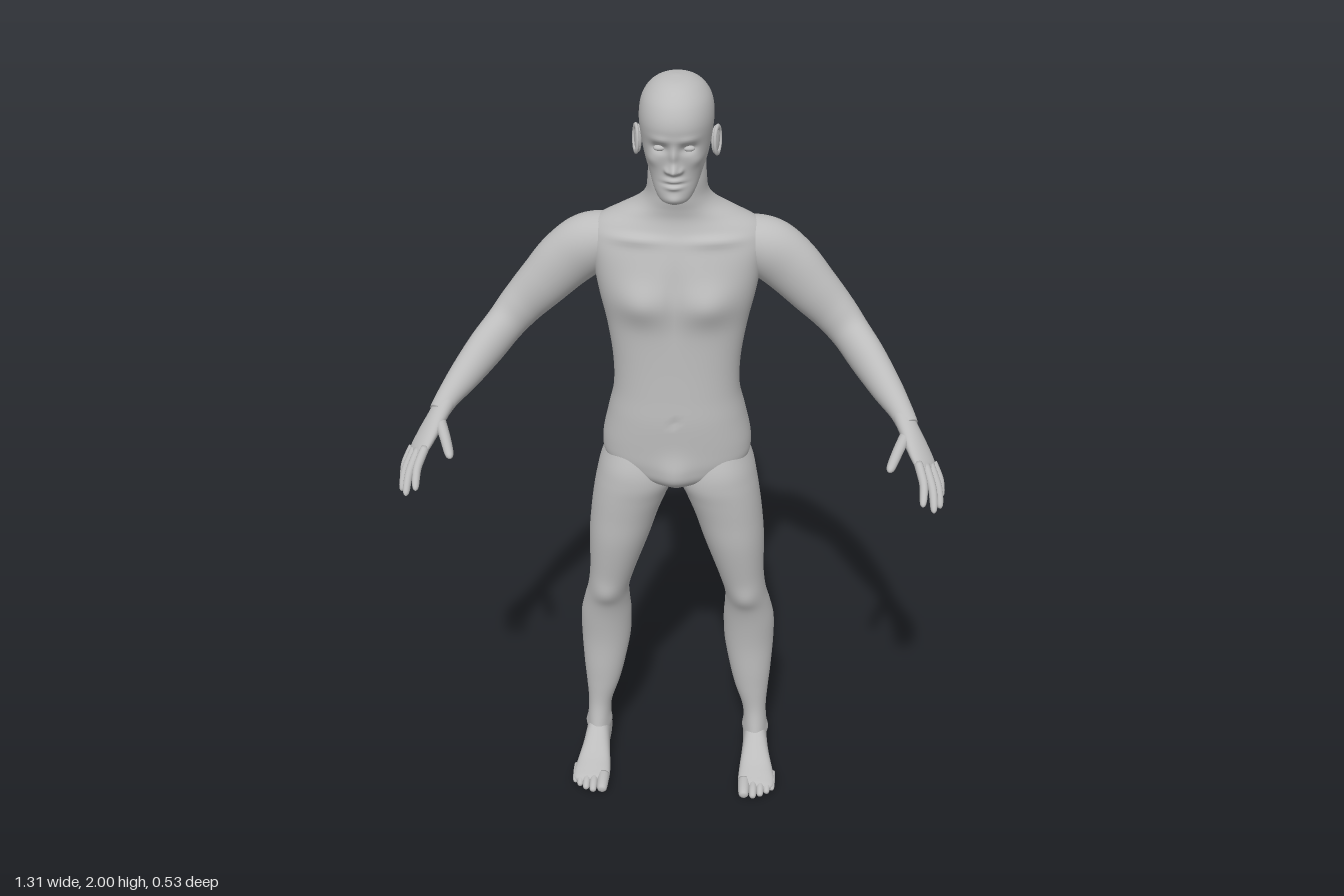
import * as THREE from 'three';

const skin = new THREE.MeshStandardMaterial({ color: 0xbcbcbc });
skin.name = 'grey skin';

// Smooth in-between rows through a few key rows of numbers
function smoothRows(rows, steps) {
  const out = [], last = rows.length - 1;
  for (let i = 0; i <= steps; i++) {
    const f = (i / steps) * last, k = Math.min(Math.floor(f), last - 1), t = f - k;
    const [a, b, c, d] = [k - 1, k, k + 1, k + 2].map(j => rows[Math.max(0, Math.min(last, j))]);
    out.push(b.map((_, m) => b[m] + 0.5 * t * (c[m] - a[m]
      + t * (2 * a[m] - 5 * b[m] + 4 * c[m] - d[m] + t * (3 * (b[m] - c[m]) + d[m] - a[m])))));
  }
  return out;
}

// Closed skin over rings; place(row, cos, sin, index) gives one point
function loft(rows, n, place) {
  const pos = [], idx = [], m = rows.length;
  rows.forEach((row, i) => {
    for (let j = 0; j < n; j++) {
      const a = (j / n) * Math.PI * 2;
      pos.push(...place(row, Math.cos(a), Math.sin(a), i));
    }
  });
  for (const ring of [0, m - 1]) {
    const c = [0, 0, 0];
    for (let j = 0; j < n * 3; j++) c[j % 3] += pos[ring * n * 3 + j] / n;
    pos.push(...c);
  }
  for (let j = 0; j < n; j++) {
    const k = (j + 1) % n, top = (m - 1) * n;
    for (let i = 0; i < m - 1; i++) {
      const a = i * n + j, b = i * n + k;
      idx.push(a, a + n, b, b, a + n, b + n);
    }
    idx.push(m * n, j, k, m * n + 1, top + k, top + j);
  }
  const geo = new THREE.BufferGeometry();
  geo.setAttribute('position', new THREE.Float32BufferAttribute(pos, 3));
  geo.setIndex(idx);
  geo.computeVertexNormals();
  return geo;
}

const power = (v, e) => Math.sign(v) * Math.pow(Math.abs(v), e);

// Upright body part; row: y, x min, x max, z front, z back, squareness
const upright = (rows, n, steps) => loft(smoothRows(rows, steps), n, ([y, x0, x1, zf, zb, e], c, s) =>
  [(x0 + x1) / 2 + (x1 - x0) / 2 * power(c, e), y, (zf + zb) / 2 + (zf - zb) / 2 * power(s, e)]);

// Limb along a path; row: x, y, z, radius along the hint, radius across it
function limb(keys, hint, n = 24, steps = 30) {
  const rows = smoothRows(keys, steps);
  const p = rows.map(r => new THREE.Vector3(r[0], r[1], r[2]));
  const frames = p.map((_, i) => {
    const d = p[Math.min(i + 1, steps)].clone().sub(p[Math.max(i - 1, 0)]).normalize();
    const u = new THREE.Vector3(...hint).addScaledVector(d, -d.dot(new THREE.Vector3(...hint))).normalize();
    return [u, new THREE.Vector3().crossVectors(u, d)];
  });
  return loft(rows, n, (r, c, s, i) =>
    p[i].clone().addScaledVector(frames[i][0], c * r[3]).addScaledVector(frames[i][1], s * r[4]).toArray());
}

// Finger or toe with a rounded tip
function digit(points, r, hint) {
  const curve = new THREE.CatmullRomCurve3(points.map(q => new THREE.Vector3(...q)));
  const rows = [[0, 1], [0.25, 1], [0.5, 0.95], [0.75, 0.88], [0.9, 0.75], [0.97, 0.48], [1, 0.05]]
    .map(([t, k]) => [...curve.getPoint(t).toArray(), r * k, r * k]);
  return limb(rows, hint, 14, 20);
}

// Sculpt soft bumps: x, y, z, reach x, y, z, push x, y, z (mirrored when off centre)
function sculpt(geo, bumps) {
  const all = bumps.flatMap(b => b[0] ? [b, b.map((v, i) => (i === 0 || i === 6 ? -v : v))] : [b]);
  const p = geo.attributes.position;
  for (let i = 0; i < p.count; i++) {
    const o = [p.getX(i), p.getY(i), p.getZ(i)], q = [...o];
    for (const b of all) {
      const w = Math.exp(-o.reduce((sum, v, k) => sum + ((v - b[k]) / b[k + 3]) ** 2, 0));
      for (let k = 0; k < 3; k++) q[k] += w * b[k + 6];
    }
    p.setXYZ(i, ...q);
  }
  geo.computeVertexNormals();
  return geo;
}

function mirrored(geo) {
  const g = geo.clone().scale(-1, 1, 1);
  g.setIndex(Array.from(g.index.array).reverse());
  g.computeVertexNormals();
  return g;
}

export function createModel() {
  const model = new THREE.Group();
  model.name = 'humanFigure';
  const add = (name, geo) => {
    const mesh = new THREE.Mesh(geo, skin);
    mesh.name = name;
    model.add(mesh);
  };
  const pair = (name, geo) => {
    add('left' + name, geo);
    add('right' + name, mirrored(geo));
  };
  const centred = rows => rows.map(([y, r, zf, zb, e]) => [y, -r, r, zf, zb, e]);

  // Torso and neck
  const torso = upright(centred([
    [0.93, 0.03, -0.06, -0.14, 1], [0.97, 0.13, -0.015, -0.21, 0.95], [1.01, 0.18, -0.006, -0.235, 0.9],
    [1.06, 0.188, -0.004, -0.248, 0.88], [1.14, 0.172, -0.002, -0.24, 0.88], [1.21, 0.157, -0.006, -0.217, 0.88],
    [1.29, 0.158, -0.01, -0.222, 0.86], [1.38, 0.172, -0.012, -0.24, 0.85], [1.46, 0.19, -0.01, -0.25, 0.85],
    [1.53, 0.203, -0.02, -0.252, 0.85], [1.59, 0.213, -0.037, -0.247, 0.9], [1.63, 0.2, -0.053, -0.24, 1],
    [1.66, 0.148, -0.06, -0.228, 1.05], [1.685, 0.1, -0.058, -0.217, 1], [1.715, 0.075, -0.052, -0.203, 1],
    [1.76, 0.069, -0.05, -0.19, 1], [1.82, 0.066, -0.06, -0.19, 1]]), 96, 110);
  add('torso', sculpt(torso, [
    [0.085, 1.465, 0, 0.06, 0.05, 0.08, 0, 0, 0.02],       // chest
    [0, 1.48, 0, 0.016, 0.08, 0.06, 0, 0, -0.008],         // breastbone
    [0.1, 1.612, -0.05, 0.07, 0.012, 0.05, 0, 0.004, 0.008], // collar bone
    [0.1, 1.53, -0.24, 0.055, 0.09, 0.07, 0, 0, -0.018],   // shoulder blade
    [0, 1.38, -0.24, 0.022, 0.22, 0.06, 0, 0, 0.015],      // spine
    [0.085, 1.05, -0.24, 0.065, 0.065, 0.08, 0, 0, -0.026], // buttock
    [0, 1.03, -0.25, 0.016, 0.07, 0.08, 0, 0, 0.04],       // cleft
    [0, 1.0, -0.01, 0.04, 0.045, 0.05, 0, -0.005, 0.014],  // groin
    [0, 1.15, 0, 0.007, 0.008, 0.04, 0, 0, -0.006],        // navel
  ]));

  // Head with a sculpted face
  const head = upright(centred([
    [1.724, 0.015, -0.005, -0.035, 1], [1.733, 0.034, 0.007, -0.06, 0.95], [1.755, 0.049, 0.012, -0.11, 0.92],
    [1.79, 0.063, 0.01, -0.18, 0.9], [1.82, 0.073, 0.011, -0.204, 0.9], [1.86, 0.081, 0.017, -0.217, 0.9],
    [1.91, 0.086, 0.026, -0.223, 0.93], [1.95, 0.08, 0.014, -0.211, 0.97], [1.978, 0.062, -0.012, -0.185, 1],
    [1.994, 0.036, -0.045, -0.145, 1], [2.0, 0.006, -0.088, -0.102, 1]]), 128, 110);
  add('head', sculpt(head, [
    [0.033, 1.862, 0.01, 0.018, 0.011, 0.05, 0, 0, -0.013], // eye socket
    [0.032, 1.884, 0.02, 0.025, 0.008, 0.05, 0, 0, 0.004],  // brow
    [0, 1.845, 0.015, 0.009, 0.024, 0.05, 0, 0, 0.012],     // nose bridge
    [0, 1.815, 0.015, 0.011, 0.012, 0.05, 0, -0.003, 0.024], // nose tip
    [0.014, 1.811, 0.01, 0.007, 0.007, 0.05, 0.002, 0, 0.008], // nostril
    [0, 1.787, 0.01, 0.02, 0.006, 0.05, 0, 0, 0.008],       // upper lip
    [0, 1.771, 0.01, 0.018, 0.006, 0.05, 0, 0, 0.008],      // lower lip
    [0, 1.779, 0.01, 0.024, 0.003, 0.05, 0, 0, -0.004],     // mouth line
    [0, 1.74, 0.01, 0.02, 0.012, 0.05, 0, 0, 0.006],        // chin
    [0.05, 1.83, -0.01, 0.018, 0.016, 0.04, 0.003, 0, 0.004], // cheek
  ]));
  pair('Eye', new THREE.SphereGeometry(1, 20, 14).scale(0.014, 0.007, 0.01).translate(0.033, 1.861, -0.001));

  // Ears: a shell with a raised rim
  const placeEar = g => g.rotateY(Math.PI / 2 - 0.35).rotateX(-0.15).translate(0.089, 1.848, -0.097);
  pair('Ear', placeEar(new THREE.SphereGeometry(1, 20, 14).scale(0.018, 0.033, 0.008)));
  pair('EarRim', placeEar(new THREE.TorusGeometry(0.02, 0.0045, 8, 28).scale(0.85, 1.5, 1).translate(0, 0, 0.005)));

  // Legs
  const leg = upright([
    [1.07, 0.035, 0.16, -0.04, -0.21, 1], [1.0, 0.01, 0.193, -0.014, -0.245, 0.95],
    [0.95, 0.003, 0.206, -0.008, -0.228, 0.95], [0.9, 0.024, 0.215, -0.012, -0.213, 0.95],
    [0.84, 0.047, 0.223, -0.018, -0.21, 0.95], [0.76, 0.072, 0.23, -0.025, -0.209, 0.95],
    [0.65, 0.11, 0.232, -0.045, -0.195, 0.95], [0.58, 0.129, 0.24, -0.06, -0.2, 0.95],
    [0.53, 0.13, 0.252, -0.077, -0.21, 0.97], [0.47, 0.127, 0.264, -0.09, -0.221, 1],
    [0.39, 0.131, 0.265, -0.1, -0.222, 1], [0.3, 0.148, 0.26, -0.102, -0.202, 1],
    [0.24, 0.163, 0.255, -0.104, -0.19, 1], [0.17, 0.185, 0.251, -0.105, -0.185, 1],
    [0.11, 0.19, 0.254, -0.094, -0.19, 1], [0.07, 0.191, 0.254, -0.085, -0.198, 1],
    [0.03, 0.198, 0.248, -0.09, -0.195, 1]].reverse(), 56, 90);
  pair('Leg', sculpt(leg, [
    [0.185, 0.585, -0.06, 0.035, 0.035, 0.04, 0, 0, 0.008],  // kneecap
    [0.188, 0.1, -0.14, 0.02, 0.018, 0.02, -0.005, 0, 0],    // inner ankle
    [0.257, 0.09, -0.145, 0.02, 0.018, 0.02, 0.006, 0, 0],   // outer ankle
  ]));

  // Feet, from toes to heel; row: z, x min, x max, y min, y max
  const footRows = [[0.047, 0.205, 0.255, 0.01, 0.024], [0.036, 0.184, 0.276, 0.004, 0.034],
    [0.012, 0.18, 0.281, 0, 0.043], [-0.025, 0.182, 0.275, 0, 0.058], [-0.07, 0.187, 0.264, 0.002, 0.088],
    [-0.11, 0.19, 0.258, 0.001, 0.112], [-0.16, 0.189, 0.255, 0, 0.115], [-0.197, 0.194, 0.25, 0.002, 0.085],
    [-0.212, 0.207, 0.237, 0.022, 0.05]];
  pair('Foot', loft(smoothRows(footRows, 44), 40, ([z, x0, x1, y0, y1], c, s) =>
    [(x0 + x1) / 2 + (x1 - x0) / 2 * power(c, 0.85), (y0 + y1) / 2 + (y1 - y0) / 2 * power(s, 0.8), z]));
  [[0.197, 0.077, 0.0165], [0.222, 0.077, 0.0115], [0.242, 0.068, 0.011], [0.26, 0.055, 0.0105],
    [0.274, 0.04, 0.0095]].forEach(([x, tip, r], i) => pair('Toe' + (i + 1),
    digit([[x, 0.024, tip - 0.06], [x, 0.022, tip - 0.025], [x, r + 0.001, tip]], r, [1, 0, 0])));

  // Arms
  pair('Arm', limb([[0.1, 1.585, -0.155, 0.04, 0.05], [0.16, 1.582, -0.153, 0.06, 0.065],
    [0.215, 1.563, -0.15, 0.074, 0.068], [0.27, 1.522, -0.146, 0.073, 0.06], [0.325, 1.465, -0.142, 0.065, 0.054],
    [0.38, 1.407, -0.136, 0.056, 0.048], [0.422, 1.36, -0.118, 0.051, 0.045], [0.465, 1.317, -0.065, 0.05, 0.043],
    [0.512, 1.27, 0.002, 0.04, 0.037], [0.545, 1.238, 0.053, 0.028, 0.029], [0.562, 1.216, 0.085, 0.022, 0.026]],
    [0, 1, 0], 40, 70));

  // Hands
  const across = [-0.043, 0.02, 0.045];
  pair('Palm', limb([[0.543, 1.24, 0.05, 0.026, 0.024], [0.562, 1.213, 0.088, 0.029, 0.021],
    [0.583, 1.181, 0.122, 0.036, 0.018], [0.603, 1.15, 0.152, 0.037, 0.0135], [0.611, 1.137, 0.163, 0.026, 0.007]],
    across, 32, 30));
  [['IndexFinger', [0.585, 1.162, 0.168], [0.597, 1.133, 0.218], [0.595, 1.1, 0.265], 0.0105],
    ['MiddleFinger', [0.603, 1.152, 0.16], [0.62, 1.113, 0.205], [0.624, 1.073, 0.247], 0.0105],
    ['RingFinger', [0.616, 1.146, 0.147], [0.636, 1.103, 0.18], [0.642, 1.062, 0.208], 0.01],
    ['LittleFinger', [0.625, 1.142, 0.13], [0.643, 1.105, 0.148], [0.649, 1.067, 0.162], 0.009],
    ['Thumb', [0.56, 1.205, 0.1], [0.535, 1.186, 0.165], [0.514, 1.169, 0.226], 0.0135],
  ].forEach(([name, a, b, c, r]) => pair(name, digit([a, b, c], r, across)));

  return model;
}
